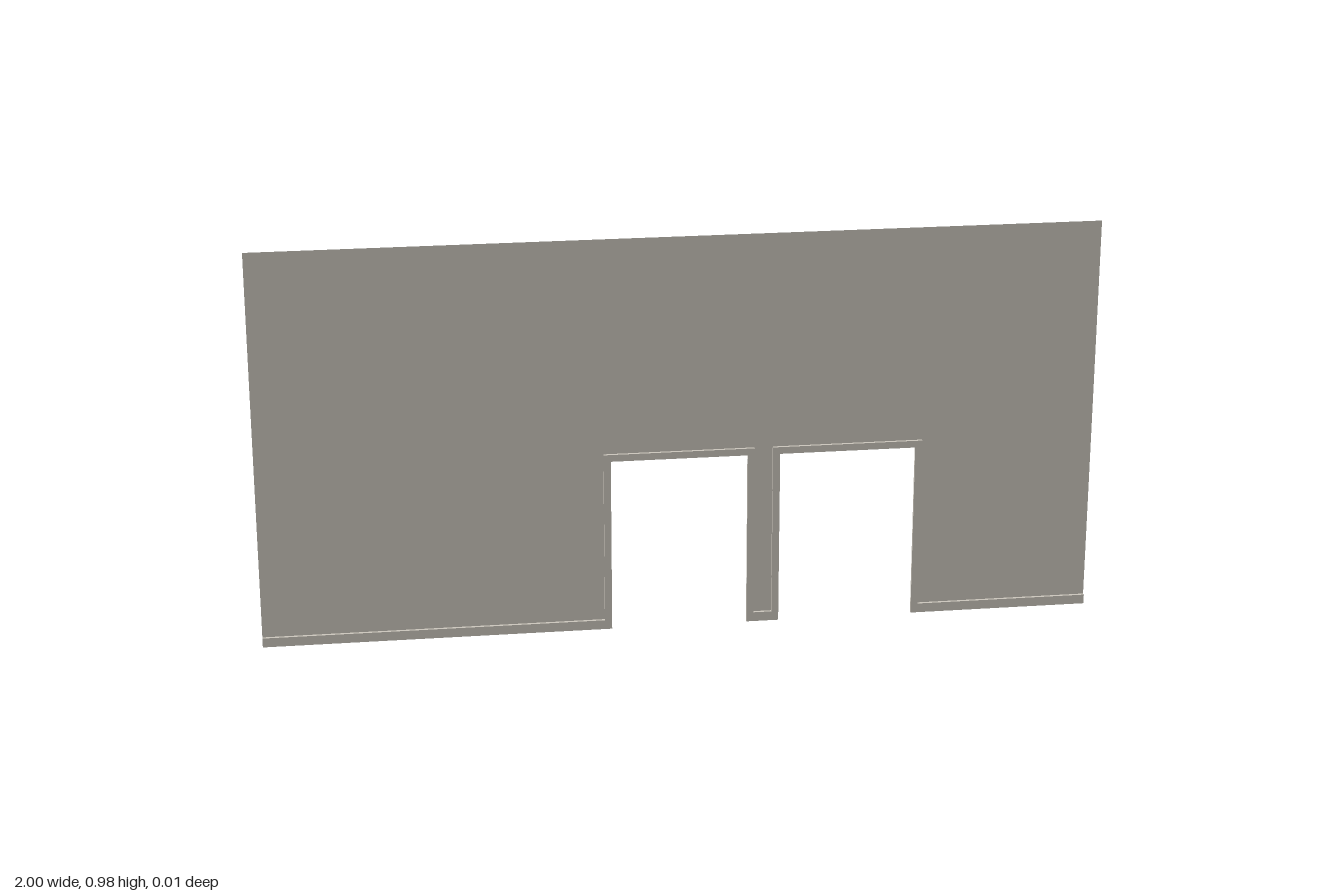
import * as THREE from 'three';

const HEIGHT = 0.975, DOOR_TOP = 0.43, TRIM = 0.017, DEPTH = 0.007, BASE = 0.023;
const BACK = -DEPTH / 2;
const doors = [[-0.165, 0.162], [0.24, 0.567]];

// Closed shape from [x, y] corners
const polygon = (points) => new THREE.Shape(points.map(([x, y]) => new THREE.Vector2(x, y)));

export function createModel() {
  const model = new THREE.Group();
  model.name = 'wallWithDoorways';
  const plaster = new THREE.MeshStandardMaterial({ color: 0xcec9bf, side: THREE.DoubleSide });
  plaster.name = 'warm grey plaster';

  const add = (name, geometry, x = 0, y = 0, z = 0) => {
    const mesh = new THREE.Mesh(geometry, plaster);
    mesh.name = name;
    mesh.position.set(x, y, z);
    model.add(mesh);
  };

  // Single-sheet wall, notched at the floor by each doorway
  const outline = [[-1, 0]];
  for (const [a, b] of doors) outline.push([a, 0], [a, DOOR_TOP], [b, DOOR_TOP], [b, 0]);
  outline.push([1, 0], [1, HEIGHT], [-1, HEIGHT]);
  add('wall', new THREE.ShapeGeometry(polygon(outline)), 0, 0, BACK);

  // Raised casing around each doorway
  doors.forEach(([a, b], i) => {
    const casing = polygon([
      [a - TRIM, 0], [a, 0], [a, DOOR_TOP], [b, DOOR_TOP], [b, 0], [b + TRIM, 0],
      [b + TRIM, DOOR_TOP + TRIM], [a - TRIM, DOOR_TOP + TRIM],
    ]);
    add(`doorCasing${i + 1}`,
      new THREE.ExtrudeGeometry(casing, { depth: DEPTH, bevelEnabled: false }), 0, 0, BACK);
  });

  // Skirting between the casings
  const stops = [-1, ...doors.flatMap(([a, b]) => [a - TRIM, b + TRIM]), 1];
  for (let i = 0; i < stops.length; i += 2) {
    const [a, b] = [stops[i], stops[i + 1]];
    add(`skirting${i / 2 + 1}`, new THREE.BoxGeometry(b - a, BASE, DEPTH), (a + b) / 2, BASE / 2, 0);
  }
  return model;
}
